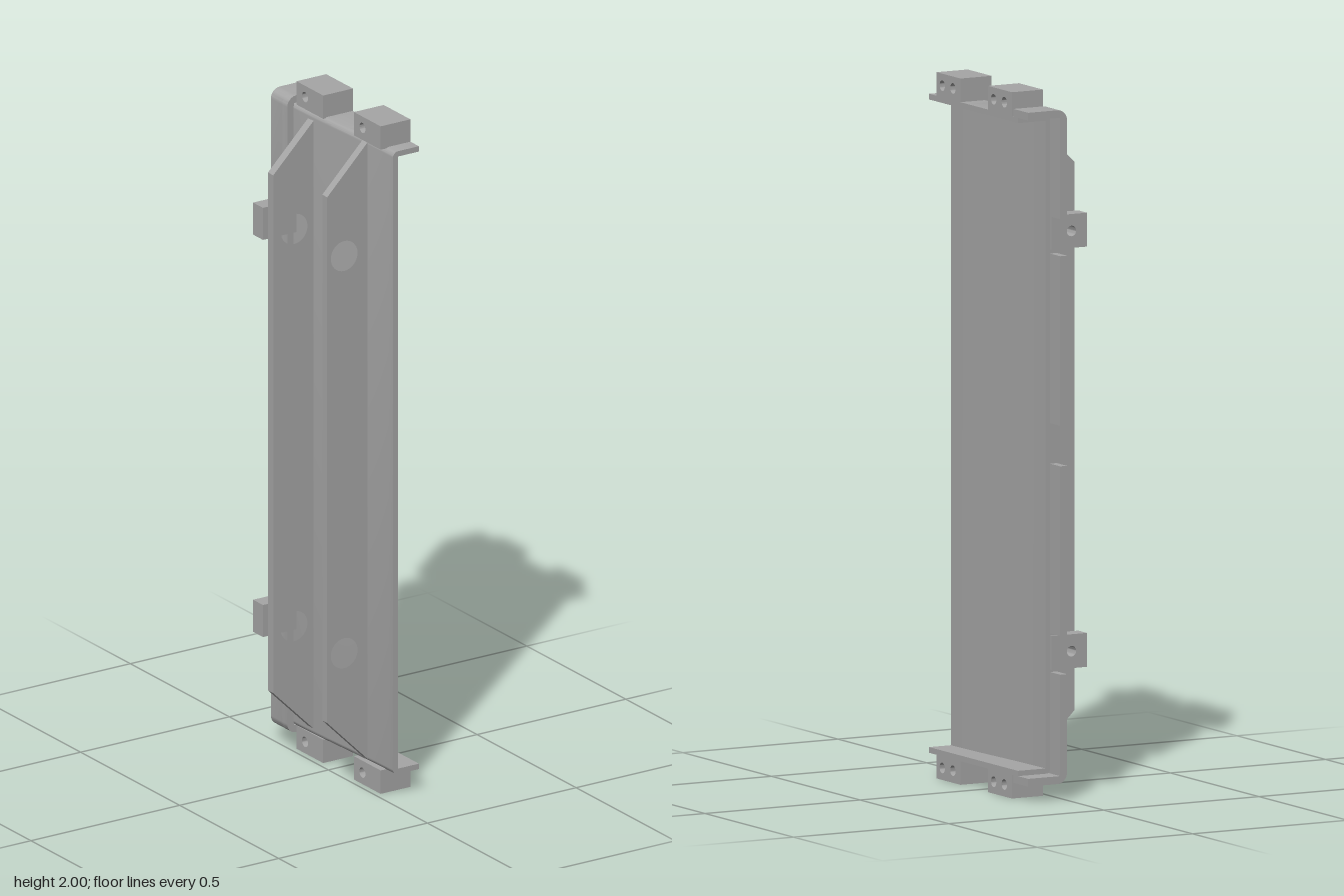
import * as THREE from 'three';
import { toCreasedNormals } from 'three/addons/utils/BufferGeometryUtils.js';

const grey = new THREE.MeshStandardMaterial({ color: 0xa6a6a6 });
grey.name = 'plain grey';

export function createModel() {
  const model = new THREE.Group();
  model.name = 'mountingBracket';

  const add = (name, geometry) => {
    const mesh = new THREE.Mesh(toCreasedNormals(geometry, 0.5), grey);
    mesh.name = name;
    model.add(mesh);
  };
  const box = (name, x0, x1, y0, y1, z0, z1) => {
    const g = new THREE.BoxGeometry(x1 - x0, y1 - y0, z1 - z0);
    add(name, g.translate((x0 + x1) / 2, (y0 + y1) / 2, (z0 + z1) / 2));
  };
  const polygon = (points, holes = []) => {
    const shape = new THREE.Shape(points.map(([x, y]) => new THREE.Vector2(x, y)));
    for (const [x, y, r] of holes) {
      shape.holes.push(new THREE.Path().absarc(x, y, r, 0, Math.PI * 2, true));
    }
    return shape;
  };
  const extrude = (shape, z0, z1, steps = 1) =>
    new THREE.ExtrudeGeometry(shape, { depth: z1 - z0, steps, bevelEnabled: false, curveSegments: 16 })
      .translate(0, 0, z0);

  // Outer rounded corner from the end of a flange to the spine
  const corner = (x0, y0, r) => [0, 1, 2, 3, 4, 5, 6].map((i) => {
    const a = (i / 6) * Math.PI / 2;
    return [x0 + r - r * Math.sin(a), y0 + r - r * Math.cos(a)];
  });
  const flip = ([x, y]) => [x, 2 - y];
  // Half of a channel profile, from the bottom flange up to height yEnd
  const half = (x0, x1, y0, t, r, yEnd) => [
    [x1, y0], ...corner(x0, y0, r), [x0, yEnd], [x0 + t, yEnd], [x0 + t, y0 + t], [x1, y0 + t],
  ];
  const channel = (x0, x1, y0, t, r) => {
    const outer = [[x1, y0], ...corner(x0, y0, r)];
    const inner = [[x0 + t, y0 + t], [x1, y0 + t]];
    return [...outer, ...outer.map(flip).reverse(), ...inner.map(flip).reverse(), ...inner];
  };

  // Main panel with end flanges, its face gently curved from front to back
  const panel = extrude(polygon(channel(0.031, 0.118, 0.067, 0.016, 0.016)), -0.222, 0.28, 24);
  const p = panel.attributes.position;
  for (let i = 0; i < p.count; i++) {
    if (p.getX(i) < 0.08) {
      const bend = THREE.MathUtils.smoothstep(0.28 - p.getZ(i), 0, 0.5);
      p.setX(i, p.getX(i) - 0.018 * bend);
    }
  }
  panel.computeVertexNormals();
  add('curvedPanel', panel);

  // Stepped rear lip, its outer band broken into four tabs
  const lip = [-0.007, 0.118, 0.046, 0.022, 0.03];
  add('rearLip', extrude(polygon(channel(...lip)), -0.222, -0.197));
  const endTab = half(...lip, 0.355);
  add('lowerEndTab', extrude(polygon(endTab), -0.28, -0.222));
  add('upperEndTab', extrude(polygon(endTab.map(flip)), -0.28, -0.222));
  box('lowerMiddleTab', -0.007, 0.015, 0.465, 0.945, -0.28, -0.222);
  box('upperMiddleTab', -0.007, 0.015, 1.06, 1.54, -0.28, -0.222);

  // Two stiffening ribs with large clearance holes
  const holeHeights = [0.41, 1.6];
  const rib = (name, tip, z0, z1) => {
    const low = [[0.03, 0.075], [0.015, 0.09], [tip, 0.1 + (0.015 - tip) * 0.92]];
    const outline = [...low, ...low.map(flip).reverse()];
    add(name, extrude(polygon(outline, holeHeights.map((y) => [-0.05, y, 0.045])), z0, z1));
  };
  rib('rearRib', -0.12, -0.125, -0.098);
  rib('frontRib', -0.107, 0.13, 0.155);

  // Rear screw lugs in line with the rib holes
  for (const y of holeHeights) {
    const square = [[-0.1, y - 0.048], [0.015, y - 0.048], [0.015, y + 0.048], [-0.1, y + 0.048]];
    add('screwLug', extrude(polygon(square, [[-0.05, y, 0.015]]), -0.23, -0.18));
  }

  // End blocks: one through hole and one blind hole each, drilled along x
  const block = (name, z0, z1, y0, y1, yHole, through, blind) => {
    const outline = [[-z1, y0], [-z0, y0], [-z0, y1], [-z1, y1]];
    const thru = [-through, yHole, 0.015];
    const turn = (g) => g.rotateY(Math.PI / 2);
    add(name + 'Back', turn(extrude(polygon(outline, [thru]), 0.018, 0.05)));
    add(name + 'Face', turn(extrude(polygon(outline, [thru, [-blind, yHole, 0.015]]), 0.05, 0.118)));
  };
  for (const [end, y0, y1, yHole] of [['lower', 0, 0.07, 0.034], ['upper', 1.93, 2, 1.966]]) {
    block(end + 'FrontBlock', 0.102, 0.237, y0, y1, yHole, 0.145, 0.205);
    block(end + 'RearBlock', -0.188, -0.053, y0, y1, yHole, -0.145, -0.085);
  }

  return model;
}
